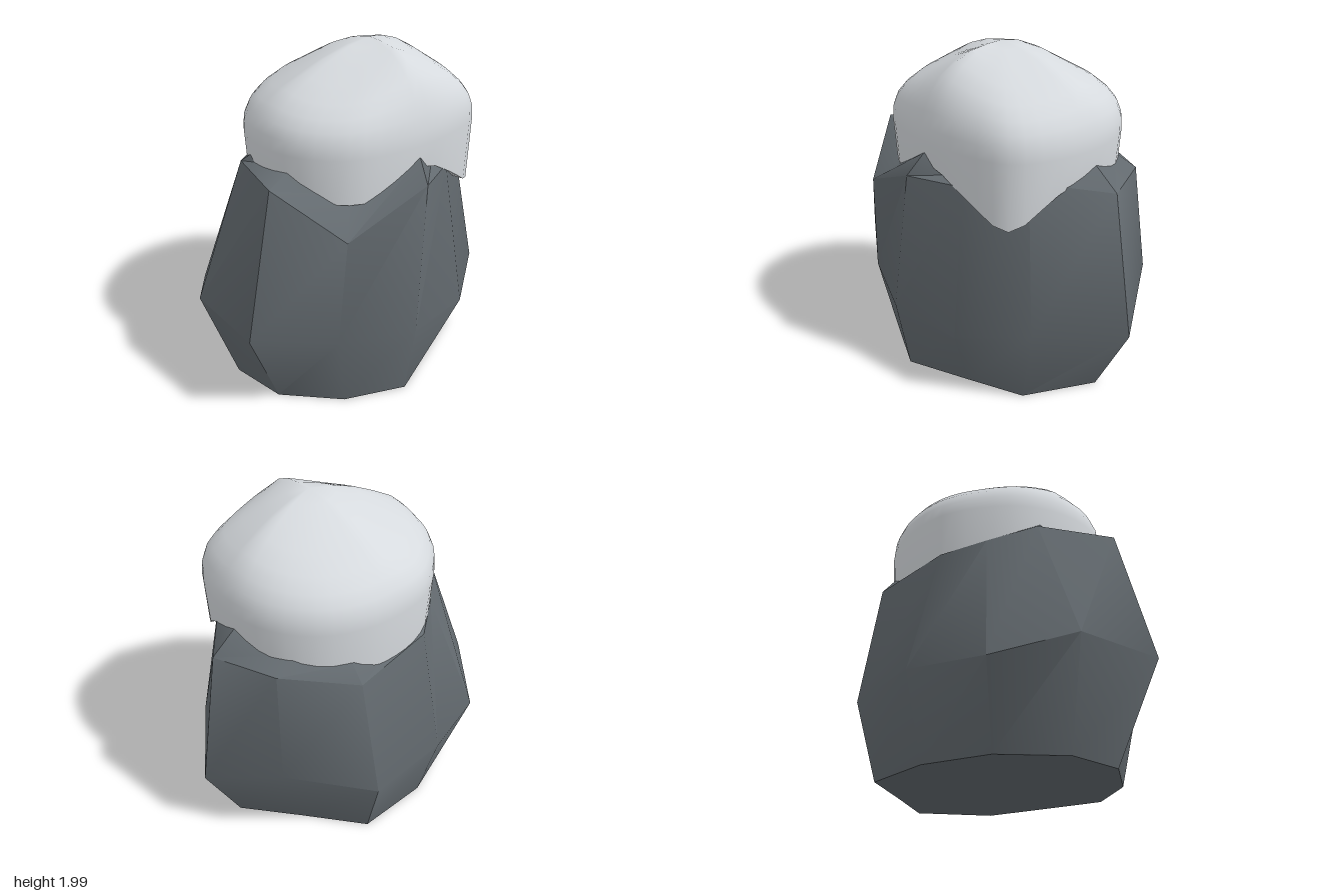
import * as THREE from 'three';
import { toCreasedNormals } from 'three/addons/utils/BufferGeometryUtils.js';

// Skin a stack of closed rings (bottom to top) and cap both ends at centre points
function loft(rings, bottom, top, crease) {
  const pos = [];
  const tri = (...pts) => pts.forEach(p => pos.push(p[0], p[1], p[2]));
  const n = rings[0].length, last = rings.length - 1;
  for (let i = 0; i < n; i++) {
    const j = (i + 1) % n;
    tri(bottom, rings[0][j], rings[0][i]);
    for (let k = 0; k < last; k++) {
      const a = rings[k][i], b = rings[k][j], c = rings[k + 1][i], d = rings[k + 1][j];
      tri(a, b, d);
      tri(a, d, c);
    }
    tri(rings[last][i], rings[last][j], top);
  }
  const g = new THREE.BufferGeometry();
  g.setAttribute('position', new THREE.Float32BufferAttribute(pos, 3));
  return toCreasedNormals(g, crease);
}

export function createModel() {
  const group = new THREE.Group();
  const stone = new THREE.MeshStandardMaterial({ color: 0x636a6f });
  stone.name = 'slate stone';
  const white = new THREE.MeshStandardMaterial({ color: 0xd6dade });
  white.name = 'snow white';

  // Boulder: foot, widest belt, broken rim and inner ledge, from +x round by the back
  const foot = [[.78, 0, 0], [.52, 0, -.31], [.26, 0, -.63], [-.19, 0, -.63], [-.56, 0, -.47], [-.78, 0, -.15],
    [-.75, 0, .2], [-.5, 0, .5], [-.16, 0, .67], [.22, 0, .53], [.56, 0, .4]];
  const belt = [[1, .44, 0], [.75, .63, -.44], [.3, .44, -.75], [-.2, .48, -.75], [-.68, .44, -.6], [-.96, .57, -.23],
    [-1, .55, .29], [-.6, .48, .56], [-.17, .45, .745], [.3, .42, .69], [.68, .5, .46]];
  const rim = [[.85, 1.28, 0], [.7, 1.28, -.36], [.33, 1.19, -.62], [-.2, 1.23, -.56], [-.42, 1.28, -.4], [-.63, 1.35, -.2],
    [-.79, 1.37, .25], [-.55, 1.1, .58], [-.06, 1.31, .69], [.25, 1.3, .56], [.55, 1.36, .36]];
  const ledge = [[.62, 1.46, 0], [.55, 1.34, -.34], [.33, 1.29, -.54], [-.17, 1.27, -.48], [-.38, 1.31, -.34], [-.56, 1.44, -.1],
    [-.56, 1.41, .17], [-.37, 1.26, .42], [-.02, 1.43, .595], [.22, 1.34, .48], [.48, 1.4, .31]];
  const boulder = new THREE.Mesh(loft([foot, belt, rim, ledge], [0, 0, 0], [0, 1.45, 0], 0.7), stone);
  boulder.name = 'boulder';
  group.add(boulder);

  // Snow hem: [radius, lowest height] at even angles, from +x round by the back
  const hem = [[.67, 1.36], [.66, 1.28], [.64, 1.2], [.61, 1.2], [.59, 1.19], [.6, 1.2], [.61, 1.22], [.65, 1.28],
    [.68, 1.33], [.7, 1.27], [.68, 1.24], [.62, 1.26], [.6, 1.36], [.63, 1.25], [.71, 1.11], [.69, 1.29]];
  const outline = new THREE.CatmullRomCurve3(hem.map(([r, y], i) => {
    const a = -i * Math.PI / 8;
    return new THREE.Vector3(r * Math.cos(a), y, r * Math.sin(a));
  }), true);
  const steps = 48;
  const edge = Array.from({ length: steps }, (_, i) => outline.getPoint(i / steps));
  const cx = .04;

  // Snow dome: [scale of outline, height], drifting toward the off-centre summit
  const dome = [[1, 1.5], [.99, 1.58], [.95, 1.67], [.88, 1.76], [.77, 1.85], [.6, 1.92], [.42, 1.96], [.2, 1.978]];
  const rings = [edge.map(p => [cx + p.x * .98, p.y, p.z * .98])];
  for (const [s, h] of dome) {
    const drift = (1 - s) * .1;
    rings.push(edge.map(p => {
      // slumped to the sides and back, with a hollow on each side of the front ridge
      const slump = .11 * Math.max(0, -p.x) + .08 * Math.max(0, p.x) + .15 * Math.max(0, -p.z)
        + .22 * Math.abs(p.x) * Math.max(0, p.z);
      return [cx + p.x * s + drift * .4, h - 6.75 * s * s * (1 - s) * slump, p.z * s + drift];
    }));
  }
  const snow = new THREE.Mesh(loft(rings, [cx, 1.3, 0], [.08, 1.985, .1], 0.7), white);
  snow.name = 'snowCap';
  group.add(snow);
  return group;
}
